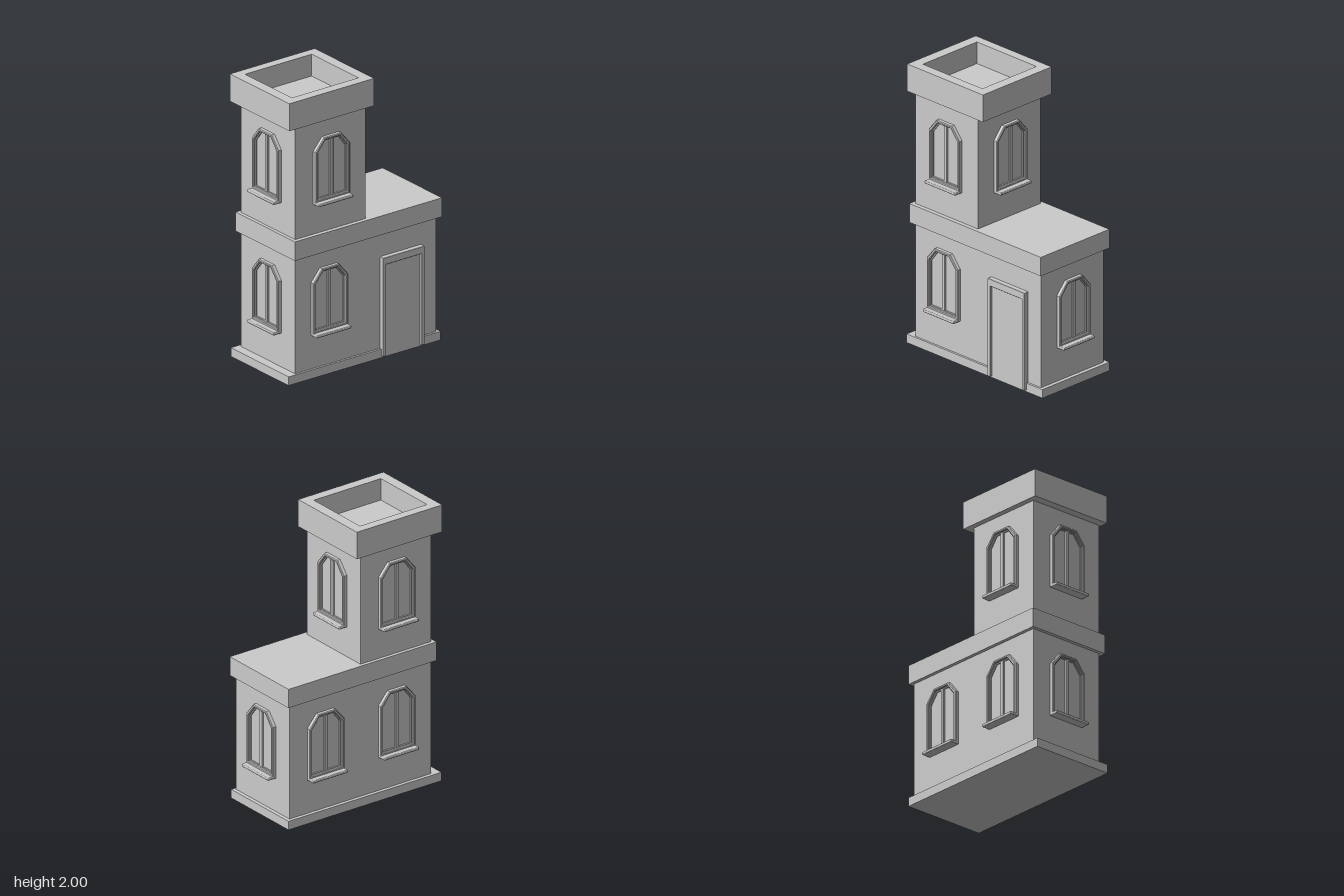
import * as THREE from 'three';
import { RoundedBoxGeometry } from 'three/addons/geometries/RoundedBoxGeometry.js';

const material = new THREE.MeshStandardMaterial({ color: 0xcccccc, flatShading: true });

function add(parent, name, geometry) {
  const mesh = new THREE.Mesh(geometry, material);
  mesh.name = name;
  parent.add(mesh);
  return mesh;
}

// Box given by its limits on each axis
function block(parent, name, [x0, x1], [y0, y1], [z0, z1], radius = 0) {
  const size = [x1 - x0, y1 - y0, z1 - z0];
  const geometry = radius ? new RoundedBoxGeometry(...size, 2, radius) : new THREE.BoxGeometry(...size);
  const mesh = add(parent, name, geometry);
  mesh.position.set((x0 + x1) / 2, (y0 + y1) / 2, (z0 + z1) / 2);
  return mesh;
}

const rect = (x0, x1, y0, y1) => [[x0, y0], [x1, y0], [x1, y1], [x0, y1]].map(p => new THREE.Vector2(...p));

// Window opening with clipped upper corners
const clippedArch = (half, bottom, shoulder, top, topHalf) => [
  [-half, bottom], [half, bottom], [half, shoulder], [topHalf, top], [-topHalf, top], [-half, shoulder],
].map(p => new THREE.Vector2(...p));

// Extruded ring between two outlines, with a softened front edge
function ring(outer, inner, depth, bevel) {
  const shape = new THREE.Shape(outer);
  if (inner) shape.holes.push(new THREE.Path(inner));
  return new THREE.ExtrudeGeometry(shape, {
    depth: depth - bevel, bevelEnabled: bevel > 0, bevelThickness: bevel,
    bevelSize: bevel, bevelOffset: -bevel, bevelSegments: 1,
  });
}

// Window built facing +z, with its wall plane at z = 0 and sill base at y = 0
function makeWindow() {
  const group = new THREE.Group();
  group.name = 'window';
  add(group, 'windowFrame', ring(
    clippedArch(0.143, 0.015, 0.377, 0.465, 0.07),
    clippedArch(0.122, 0.037, 0.367, 0.446, 0.06), 0.028, 0.005));
  add(group, 'windowInnerFrame', ring(
    clippedArch(0.125, 0.034, 0.37, 0.449, 0.062),
    clippedArch(0.115, 0.042, 0.364, 0.439, 0.057), 0.012, 0));
  add(group, 'windowPane', ring(clippedArch(0.124, 0.034, 0.369, 0.448, 0.061), null, 0.003, 0));
  block(group, 'mullion', [-0.013, 0.013], [0.037, 0.442], [0, 0.016], 0.003);
  block(group, 'sill', [-0.143, 0.143], [0, 0.022], [-0.01, 0.065], 0.007);
  return group;
}

export function createModel() {
  const model = new THREE.Group();
  model.name = 'towerHouse';

  // Walls and bands
  block(model, 'plinth', [-0.645, 0.61], [0, 0.062], [-0.315, 0.305]);
  block(model, 'lowerWalls', [-0.58, 0.583], [0.03, 0.95], [-0.29, 0.29]);
  block(model, 'cornice', [-0.605, 0.61], [0.88, 1.015], [-0.315, 0.32]);
  block(model, 'towerWalls', [-0.58, 0], [1.0, 1.83], [-0.29, 0.29]);

  // Tower parapet: square ring lying flat around a sunken roof
  const parapet = add(model, 'parapet', ring(
    rect(-0.64, 0.06, -0.305, 0.33), rect(-0.565, -0.015, -0.235, 0.265), 0.195, 0));
  parapet.rotation.x = -Math.PI / 2;
  parapet.position.y = 1.805;
  block(model, 'towerRoof', [-0.57, -0.01], [1.81, 1.845], [-0.27, 0.24]);

  // Windows: x, base height, z, turn
  const upper = 1.225, lower = 0.298, quarter = Math.PI / 2;
  const places = [
    [-0.289, upper, 0.29, 0], [-0.306, lower, 0.29, 0],
    [0, upper, 0, quarter], [0.583, lower, 0, quarter],
    [-0.29, upper, -0.29, 2 * quarter], [-0.29, lower, -0.29, 2 * quarter], [0.293, lower, -0.29, 2 * quarter],
    [-0.58, upper, 0, -quarter], [-0.58, lower, 0, -quarter],
  ];
  for (const [x, y, z, turn] of places) {
    const win = makeWindow();
    win.position.set(x, y, z);
    win.rotation.y = turn;
    model.add(win);
  }

  // Door with a raised three-sided surround
  const door = new THREE.Group();
  door.name = 'door';
  model.add(door);
  block(door, 'doorPanel', [0.14, 0.445], [0.003, 0.67], [0.28, 0.308]);
  for (const x of [0.122, 0.439]) block(door, 'doorJamb', [x, x + 0.025], [0.012, 0.7], [0.28, 0.325], 0.004);
  block(door, 'doorLintel', [0.122, 0.464], [0.662, 0.713], [0.28, 0.325], 0.004);

  return model;
}
